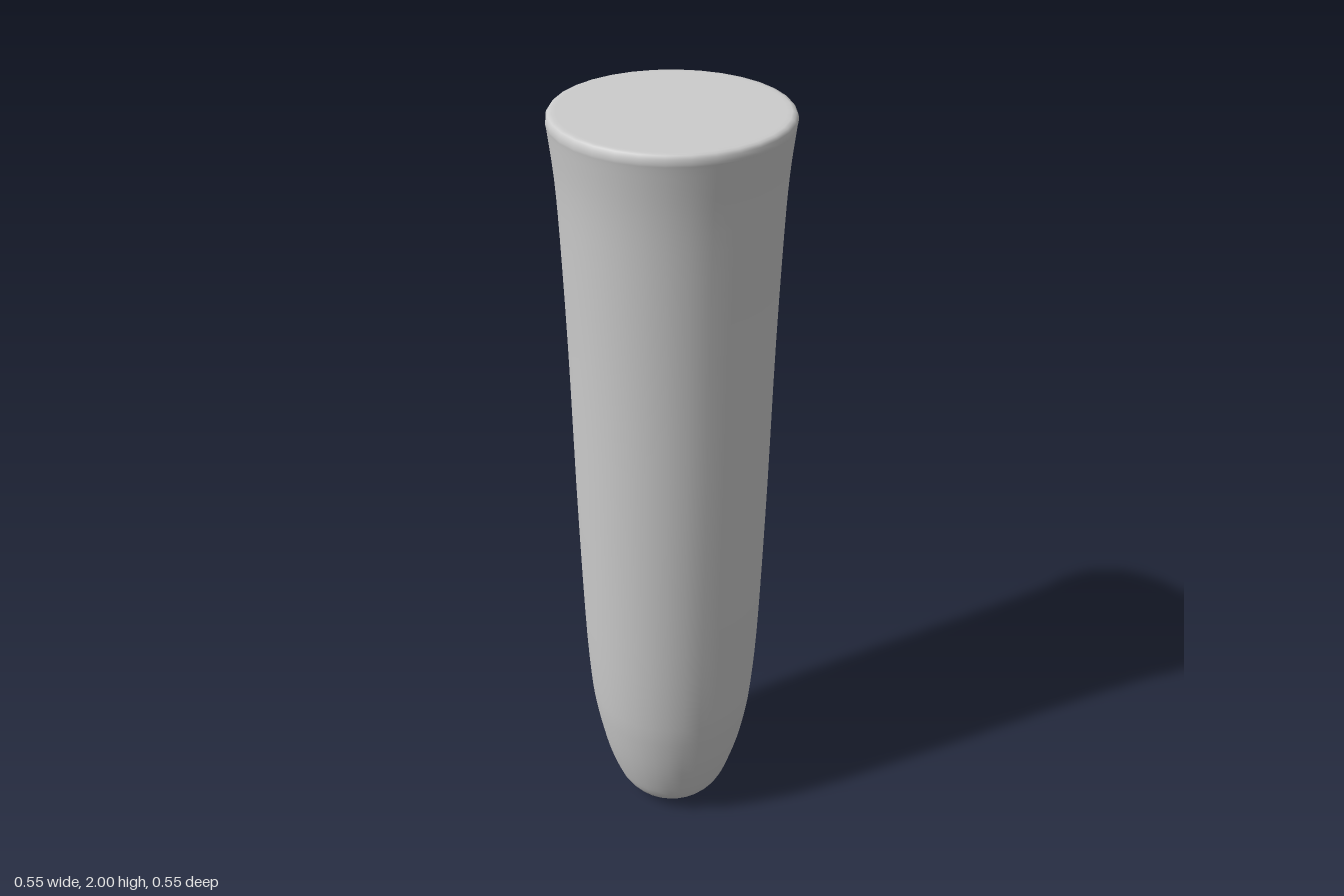
import * as THREE from 'three';

export function createModel() {
  const group = new THREE.Group();
  const toPoints = (list) => list.map(([r, y]) => new THREE.Vector2(r, y));

  // Side wall: rounded foot, slow taper, flared lip
  const wall = new THREE.SplineCurve(toPoints([
    [0.05, 0.002], [0.1, 0.014], [0.14, 0.055], [0.165, 0.115], [0.189, 0.2],
    [0.208, 0.3], [0.22, 0.4], [0.231, 0.6], [0.241, 1.0], [0.247, 1.4],
    [0.255, 1.7], [0.262, 1.85], [0.272, 1.95], [0.276, 1.98],
  ])).getPoints(40);

  // Close the foot, then round the rim into the flat top
  const profile = [
    new THREE.Vector2(0, 0),
    ...wall,
    ...toPoints([[0.275, 1.991], [0.27, 1.998], [0.262, 2], [0.252, 2], [0, 2]]),
  ];

  const body = new THREE.Mesh(
    new THREE.LatheGeometry(profile, 32),
    new THREE.MeshStandardMaterial({ color: 0xcccccc }),
  );
  body.name = 'taperedBody';
  group.add(body);
  return group;
}
